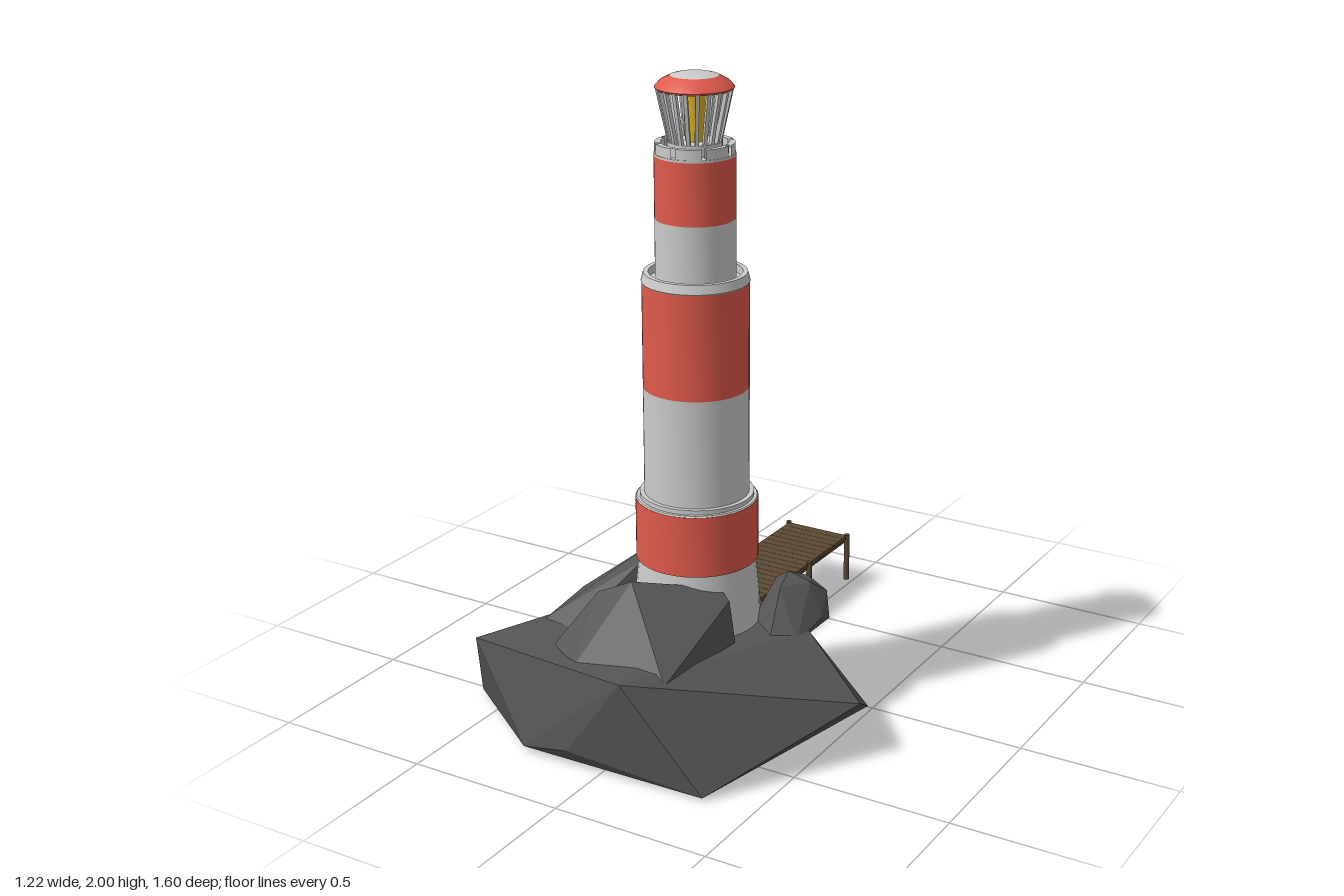
import * as THREE from 'three';
import { toCreasedNormals } from 'three/addons/utils/BufferGeometryUtils.js';
import { ConvexGeometry } from 'three/addons/geometries/ConvexGeometry.js';

const material = (color, side = THREE.FrontSide) => new THREE.MeshStandardMaterial({ color, side });
const white = material(0xcccccc);
const whiteThin = material(0xcccccc, THREE.DoubleSide);
const red = material(0xe05a4c);
const rock = material(0x555555);
const wood = material(0x5c4a34);
const dark = material(0x2c2c2c);
const yellow = material(0xe0b41c);

function add(parent, name, geometry, mat, x = 0, y = 0, z = 0) {
  const mesh = new THREE.Mesh(geometry, mat);
  mesh.name = name;
  mesh.position.set(x, y, z);
  parent.add(mesh);
  return mesh;
}

// Profile points are [radius, height], listed from the bottom up
function turned(points, start = 0, length = Math.PI * 2, segments = 36) {
  const profile = points.map(([r, y]) => new THREE.Vector2(r, y));
  return toCreasedNormals(new THREE.LatheGeometry(profile, segments, start, length), 0.5);
}

const hull = (points) => new ConvexGeometry(points.map((p) => new THREE.Vector3(...p)));

function createRocks() {
  const group = new THREE.Group();
  group.name = 'rocks';
  // Island, with a low tongue running back under the pier
  add(group, 'island', hull([
    [-0.24, 0.03, -0.31], [-0.01, 0.17, -0.19], [-0.2, 0.3, 0], [0, 0.345, 0.1],
    [0.55, 0.08, 0.13], [0.61, 0.18, 0.3], [0.38, 0.32, 0.2], [0.34, 0.01, 0.755],
    [0.2, 0.16, 0.77], [0.09, 0.325, 0.8], [-0.1, 0.06, 0.8], [-0.27, 0.02, 0.78],
    [-0.52, 0.27, 0.67], [-0.61, 0.01, 0.53], [0.1, 0, 0.2], [0.05, 0.01, 0.74],
  ]), rock);
  // Leaning boulders around the tower
  add(group, 'frontBoulder', hull([
    [-0.24, 0.31, 0.65], [-0.12, 0.3, 0.72], [0.18, 0.3, 0.7], [0.24, 0.33, 0.4],
    [0.22, 0.46, 0.4], [0.17, 0.48, 0.37], [-0.02, 0.53, 0.56], [-0.14, 0.47, 0.56],
    [0.09, 0.5, 0.48], [-0.05, 0.3, 0.42],
  ]), rock);
  add(group, 'rightBoulder', hull([
    [-0.19, 0.31, 0], [-0.4, 0.31, 0.26], [-0.38, 0.3, 0.5], [-0.26, 0.3, 0.52],
    [-0.15, 0.47, 0.31], [-0.19, 0.475, 0.24], [-0.28, 0.39, 0.29], [-0.11, 0.33, 0.1],
    [-0.18, 0.44, 0.17], [-0.08, 0.3, 0.3],
  ]), rock);
  add(group, 'leftBoulder', hull([
    [0.18, 0.32, 0.11], [0.25, 0.3, 0.05], [0.37, 0.3, 0.05], [0.39, 0.34, 0.14],
    [0.37, 0.3, 0.26], [0.3, 0.32, 0.295], [0.2, 0.33, 0.22], [0.21, 0.42, 0.1],
    [0.27, 0.465, 0.13], [0.34, 0.44, 0.12], [0.37, 0.4, 0.07], [0.3, 0.43, 0.06],
    [0.28, 0.44, 0.2],
  ]), rock);
  return group;
}

function createTower() {
  const tower = new THREE.Group();
  tower.name = 'tower';
  tower.position.set(0.035, 0, 0.28);

  // Flared foot with a doorway at the back
  const gap = 0.25;
  add(tower, 'foot', turned([[0.195, 0.3], [0.188, 0.42], [0.176, 0.54]],
    Math.PI + gap, Math.PI * 2 - gap * 2), whiteThin);
  add(tower, 'doorLintel', new THREE.BoxGeometry(0.1, 0.03, 0.05), white, 0, 0.52, -0.16);
  for (const side of [-1, 1]) {
    add(tower, 'doorJamb', new THREE.BoxGeometry(0.02, 0.17, 0.07), white, side * 0.048, 0.435, -0.16);
  }
  add(tower, 'door', new THREE.BoxGeometry(0.1, 0.22, 0.02), dark, 0, 0.42, -0.14);
  add(tower, 'doorStep', new THREE.BoxGeometry(0.09, 0.06, 0.1), white, 0, 0.345, -0.195);
  add(tower, 'lowerDoorStep', new THREE.BoxGeometry(0.07, 0.04, 0.03), white, 0, 0.33, -0.235);

  // Painted bands and the rims at each setback
  add(tower, 'lowerRedBand', turned([[0, 0.53], [0.185, 0.53], [0.185, 0.72], [0.15, 0.72]]), red);
  add(tower, 'lowerRim', turned([[0.185, 0.718], [0.181, 0.724], [0.172, 0.724], [0.172, 0.738], [0.15, 0.738]]), white);
  add(tower, 'middleWhiteBand', turned([[0.158, 0.72], [0.158, 1.07]]), white);
  add(tower, 'middleRedBand', turned([[0.158, 1.07], [0.158, 1.39]]), red);
  add(tower, 'middleRim', turned([[0.158, 1.39], [0.16, 1.393], [0.153, 1.42], [0.138, 1.42],
    [0.138, 1.395], [0.11, 1.395]]), white);
  add(tower, 'upperWhiteBand', turned([[0.118, 1.39], [0.118, 1.58]]), white);
  add(tower, 'upperRedBand', turned([[0.118, 1.58], [0.118, 1.765]]), red);

  // Gallery floor and its segmented parapet
  add(tower, 'galleryFloor', turned([[0.118, 1.765], [0.118, 1.772], [0, 1.772]]), white);
  const sections = 8;
  for (let i = 0; i < sections; i++) {
    const step = (Math.PI * 2) / sections;
    add(tower, 'parapetSection', turned([[0.116, 1.77], [0.116, 1.802], [0.098, 1.802], [0.098, 1.77]],
      (i + 0.07) * step, step * 0.86, 5), whiteThin);
  }
  tower.add(createLantern());
  return tower;
}

function createLantern() {
  const lantern = new THREE.Group();
  lantern.name = 'lantern';
  add(lantern, 'lanternBase', turned([[0.08, 1.77], [0.08, 1.805], [0, 1.805]]), white);
  add(lantern, 'lamp', new THREE.CylinderGeometry(0.032, 0.028, 0.16, 12), yellow, 0, 1.88, 0);

  // Slanted glazing bars spreading outward to the roof
  const bars = 20;
  const rise = 0.155;
  const spread = 0.034;
  for (let i = 0; i < bars; i++) {
    const spoke = new THREE.Group();
    spoke.name = 'glazingBar';
    spoke.rotation.y = (i / bars) * Math.PI * 2;
    const bar = add(spoke, 'bar', new THREE.BoxGeometry(0.011, Math.hypot(rise, spread), 0.012),
      white, 0, 1.88, 0.089);
    bar.rotation.x = Math.atan2(spread, rise);
    lantern.add(spoke);
  }
  add(lantern, 'roof', turned([[0, 1.953], [0.108, 1.953], [0.115, 1.96], [0.1, 1.977], [0.07, 1.993]]), red);
  add(lantern, 'roofCap', turned([[0.07, 1.993], [0.05, 1.998], [0, 2]]), white);
  return lantern;
}

function createPier() {
  const pier = new THREE.Group();
  pier.name = 'pier';
  const planks = 21;
  const pitch = 0.0333;
  for (let i = 0; i < planks; i++) {
    add(pier, 'plank', new THREE.BoxGeometry(0.232, 0.014, pitch - 0.001), wood,
      -0.126, 0.174, -0.79 + pitch * (i + 0.5));
  }
  // Bearers and posts on both sides
  for (const x of [-0.243, -0.01]) {
    const inner = x < -0.1 ? 0.012 : -0.012;
    add(pier, 'bearer', new THREE.BoxGeometry(0.016, 0.018, 0.69), wood, x + inner, 0.165, -0.445);
    for (const z of [-0.79, -0.515, -0.35]) {
      add(pier, 'post', new THREE.CylinderGeometry(0.01, 0.01, 0.17, 8), wood, x, 0.1, z);
    }
  }
  return pier;
}

export function createModel() {
  const model = new THREE.Group();
  model.name = 'lighthouse';
  model.add(createRocks(), createTower(), createPier());
  return model;
}
